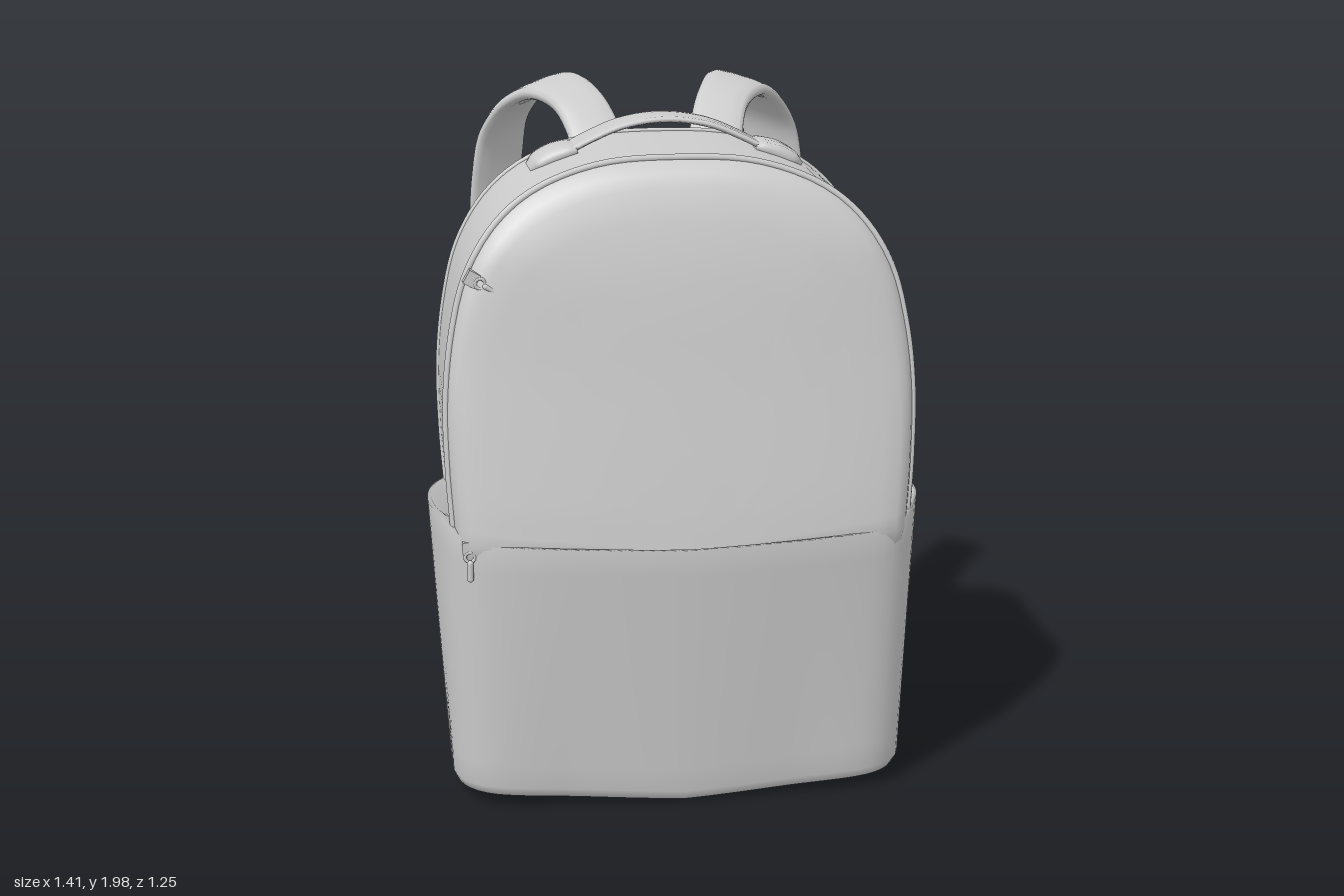
import * as THREE from 'three';

const V = (x, y, z = 0) => new THREE.Vector3(x, y, z);
const mat = new THREE.MeshStandardMaterial({ color: 0xcccccc });
const thinMat = new THREE.MeshStandardMaterial({ color: 0xcccccc, side: THREE.DoubleSide });

// Piecewise linear lookup in [key, value] pairs
function lerpTable(table, k) {
  if (k <= table[0][0]) return table[0][1];
  for (let i = 1; i < table.length; i++) {
    const [a, va] = table[i - 1], [b, vb] = table[i];
    if (k <= b) return va + (vb - va) * (k - a) / (b - a);
  }
  return table[table.length - 1][1];
}

// Skin a list of equally long rings
function loft(rings, closed = true) {
  const n = rings[0].length, pos = [], idx = [];
  rings.forEach(r => r.forEach(p => pos.push(p.x, p.y, p.z)));
  for (let i = 0; i < rings.length - 1; i++) {
    for (let j = 0; j < (closed ? n : n - 1); j++) {
      const a = i * n + j, b = i * n + (j + 1) % n;
      idx.push(a, b, a + n, b, b + n, a + n);
    }
  }
  const g = new THREE.BufferGeometry();
  g.setAttribute('position', new THREE.Float32BufferAttribute(pos, 3));
  g.setIndex(idx);
  g.computeVertexNormals();
  return g;
}

const smooth = (pts, n, closed) => {
  const out = new THREE.CatmullRomCurve3(pts, closed).getSpacedPoints(n);
  if (closed) out.pop();
  return out;
};

// Flat band along a path; each stop is [x, y, z, width, thickness, angle of width direction about y]
function ribbon(stops, steps = 40, sides = 16) {
  const path = new THREE.CatmullRomCurve3(stops.map(s => V(s[0], s[1], s[2])));
  const size = new THREE.CatmullRomCurve3(stops.map(s => V(s[3], s[4], s[5])), false, 'catmullrom', 0.3);
  const rings = [];
  const ring = (t, k) => {
    const c = path.getPoint(t), T = path.getTangent(t), d = size.getPoint(t);
    const W = V(Math.cos(d.z), -0.35 * Math.sin(2 * d.z), Math.sin(d.z)); // banks outward where it turns
    W.addScaledVector(T, -W.dot(T)).normalize();
    const N = T.clone().cross(W);
    rings.push(Array.from({ length: sides }, (_, j) => {
      const a = j / sides * Math.PI * 2, u = Math.cos(a), v = Math.sin(a);
      const f = k / Math.pow(u ** 4 + v ** 4, 0.25);
      return c.clone().addScaledVector(W, u * f * d.x / 2).addScaledVector(N, v * f * d.y / 2);
    }));
  };
  ring(0, 0); ring(0, 0.92);
  for (let i = 0; i <= steps; i++) ring(i / steps, 1);
  ring(1, 0.92); ring(1, 0);
  return loft(rings);
}

// Back wall depth, front rim depth and front fullness by height
const backZ = y => lerpTable([[0, -0.05], [0.83, 0], [0.95, -0.025], [1.85, -0.07]], y);
const rimZ = y => lerpTable([[0, 0.37], [0.6, 0.4], [0.78, 0.485], [0.9, 0.48], [1.3, 0.45], [1.6, 0.42], [1.85, 0.36]], y);
const fullness = y => lerpTable([[0.6, 1], [0.78, 2], [1.3, 1.25], [1.7, 1.15]], y);

export function createModel() {
  const root = new THREE.Group();
  root.name = 'backpack';
  const add = (name, geo, parent = root, m = mat) => {
    const mesh = new THREE.Mesh(geo, m);
    mesh.name = name;
    parent.add(mesh);
    return mesh;
  };

  // Main body: arched outline carried from back wall to domed front
  const half = [[0.3, 0.03], [0.57, 0.045], [0.625, 0.1], [0.632, 0.4], [0.638, 0.8], [0.65, 1.0], [0.652, 1.2],
    [0.632, 1.38], [0.59, 1.54], [0.51, 1.67], [0.4, 1.76], [0.22, 1.825]].map(p => V(...p));
  const mirrored = half.map(p => V(-p.x, p.y)).reverse();
  const outline = smooth([V(0, 0.025), ...half, V(0, 1.84), ...mirrored], 120, true);
  const MID = 0.78;
  const bodyRing = (s, zf) => outline.map(p => {
    const x = p.x * s, y = MID + (p.y - MID) * s;
    return V(x, y, zf(x, y));
  });
  const lift = (ring, k) => ring.forEach(p => { if (p.y > 1.2) p.y += 0.018 * k * (p.y - 1.2) / 0.64; });
  const rings = [[0, 0], [0.25, 0], [0.5, 0], [0.75, 0], [0.9, 0], [0.955, 0], [0.985, 0.008]]
    .map(([s, d]) => bodyRing(s, (x, y) => backZ(y) + d));
  lift(rings[6], 1);
  for (let i = 0; i <= 8; i++) {
    const r = bodyRing(1, (x, y) => THREE.MathUtils.lerp(backZ(y) + 0.03, rimZ(y), i / 8));
    lift(r, 1 - i / 8);
    rings.push(r);
  }
  const backRim = rings[7], frontRim = rings[15];
  [[0.985, 0.02], [0.965, 0.034], [0.93, 0.044], [0.85, 0.05], [0.7, 0.053], [0.55, 0.054], [0.4, 0.055], [0.25, 0.055],
    [0.12, 0.055], [0, 0.055]].forEach(([s, d]) =>
    rings.push(bodyRing(s, (x, y) => rimZ(y) + d * (fullness(y) - 0.4 * (x / 0.65) ** 2))));
  add('body', loft(rings));

  // Piping around the arched front and back edges
  const piping = (name, ring, r) => {
    const pts = ring.filter(p => p.y > 0.8).sort((a, b) => Math.atan2(a.y - 0.8, a.x) - Math.atan2(b.y - 0.8, b.x));
    add(name, new THREE.TubeGeometry(new THREE.CatmullRomCurve3(pts), 90, r, 8));
  };
  piping('frontPiping', frontRim, 0.01);
  piping('backPiping', backRim, 0.008);

  // Lower pocket wrapping bottom, sides and front, flaring to a mouth with a sloped lining
  const wrap = pts => smooth([...pts.map(p => V(-p[0], 0, p[1])), ...pts.slice(0, -1).reverse().map(p => V(p[0], 0, p[1]))], 80, false);
  const low = wrap([[0.64, -0.05], [0.65, 0.1], [0.652, 0.28], [0.64, 0.43], [0.57, 0.5], [0.3, 0.527], [0, 0.545]]);
  const top = wrap([[0.645, 0], [0.685, 0.1], [0.703, 0.28], [0.672, 0.45], [0.61, 0.538], [0.48, 0.583], [0, 0.622]]);
  const pocketRing = (s, t, y0) => low.map((p, j) => {
    const q = p.clone().lerp(top[j], t);
    const rise = THREE.MathUtils.smoothstep(-q.z, -0.58, -0.43);
    const side = Math.abs(q.x) / 0.65;
    q.x *= s;
    q.z = -0.05 + 0.05 * t + (q.z + 0.05 - 0.05 * t) * s;
    q.y = y0 + 0.035 * Math.abs(q.x) / 0.65 * (1 - t) + t * t * ((0.04 + 0.04 * q.z) * rise + 0.02 * side);
    return q;
  });
  const pocket = [[0, 0, 0.008], [0.5, 0, 0.008], [0.93, 0, 0.01], [0.98, 0, 0.018], [1, 0, 0.045]].map(a => pocketRing(...a));
  for (let i = 1; i <= 10; i++) pocket.push(pocketRing(1, i / 10, 0.045 + 0.745 * i / 10));
  pocket.push(pocketRing(0.985, 1, 0.793), pocketRing(0.9, 1, 0.74));
  add('lowerPocket', loft(pocket, false), root, thinMat);

  // Padded cushions on the back wall
  const pad = (name, pts, depth) => {
    const loop = smooth(pts.map(p => V(...p)), 64, true);
    const c = loop.reduce((a, p) => a.add(p), V(0, 0)).divideScalar(loop.length);
    add(name, loft([[0, 1], [0.5, 1], [0.82, 0.97], [0.91, 0.85], [0.96, 0.6], [0.99, 0.25], [1, -0.3]].map(([s, h]) =>
      loop.map(p => {
        const q = c.clone().lerp(p, s);
        q.z = backZ(q.y) - depth * h;
        return q;
      }))));
  };
  const upper = [[0.035, 0.89], [0.3, 0.875], [0.53, 0.875], [0.585, 0.93], [0.595, 1.2], [0.565, 1.44], [0.47, 1.64],
    [0.29, 1.77], [0.08, 1.815], [0.02, 1.76], [0.012, 1.4], [0.014, 0.95]];
  pad('leftBackPad', upper, 0.053);
  pad('rightBackPad', upper.map(([x, y]) => [-x, y]).reverse(), 0.053);
  pad('lumbarPad', [[-0.45, 0.095], [0, 0.085], [0.45, 0.095], [0.56, 0.18], [0.585, 0.4], [0.56, 0.62], [0.45, 0.755],
    [0, 0.775], [-0.45, 0.755], [-0.56, 0.62], [-0.585, 0.4], [-0.56, 0.18]], 0.065);

  // Top grab handle with domed end patches
  const Q = Math.PI / 2;
  add('grabHandle', ribbon([[-0.32, 1.805], [-0.22, 1.858], [-0.12, 1.898], [0, 1.914], [0.12, 1.898], [0.22, 1.858], [0.32, 1.805]]
    .map(([x, y]) => [x, y, 0.08, 0.148, 0.02, Q])));
  for (const s of [1, -1]) {
    add('handlePatch', ribbon([[0.255, 1.832, 0.155, 0.03], [0.28, 1.826, 0.165, 0.045], [0.32, 1.812, 0.165, 0.055],
      [0.36, 1.792, 0.155, 0.05], [0.385, 1.773, 0.12, 0.03]]
      .map(([x, y, w, h]) => [s * x, y, 0.08, w, h, Q]), 16));
  }

  // Shoulder straps, mirrored
  for (const s of [1, -1]) {
    const g = new THREE.Group();
    g.name = s > 0 ? 'leftStrap' : 'rightStrap';
    root.add(g);
    const band = (name, stops, steps) => add(name, ribbon(stops.map(([x, y, z, w, h, a]) => [s * x, y, z, w, h, s * a]), steps), g);
    band('shoulderPad', [[0.17, 1.79, -0.05, 0.16, 0.04, 0], [0.185, 1.86, -0.13, 0.155, 0.045, 0.1], [0.22, 1.925, -0.23, 0.155, 0.045, 0.25],
      [0.283, 1.952, -0.365, 0.18, 0.045, 0.4], [0.355, 1.91, -0.48, 0.19, 0.042, 0.55], [0.41, 1.82, -0.545, 0.19, 0.04, 0.62],
      [0.437, 1.67, -0.565, 0.19, 0.035, 0.62], [0.455, 1.35, -0.555, 0.165, 0.032, 0.5], [0.465, 1.0, -0.52, 0.145, 0.03, 0.3],
      [0.47, 0.75, -0.487, 0.13, 0.028, 0.15], [0.47, 0.5, -0.458, 0.12, 0.026, 0]], 70);
    band('strapSleeve', [[0.47, 0.8, -0.492, 0.137, 0.034, 0.15], [0.47, 0.65, -0.475, 0.13, 0.034, 0.1], [0.47, 0.52, -0.46, 0.125, 0.034, 0]], 10);
    band('lowerWebbing', [[0.47, 0.43, -0.455, 0.09, 0.012, 0], [0.485, 0.32, -0.38, 0.09, 0.012, 0.1], [0.51, 0.2, -0.28, 0.09, 0.012, 0.15],
      [0.54, 0.11, -0.17, 0.1, 0.012, 0.2], [0.56, 0.075, -0.1, 0.11, 0.014, 0.2], [0.57, 0.07, -0.03, 0.11, 0.016, 0.2]], 30);
    band('looseTail', [[0.47, 0.44, -0.46, 0.085, 0.011, 0], [0.47, 0.34, -0.43, 0.085, 0.011, 0], [0.47, 0.23, -0.422, 0.085, 0.011, 0],
      [0.47, 0.13, -0.44, 0.085, 0.011, 0], [0.47, 0.075, -0.47, 0.085, 0.011, 0]], 20);
    // Ladder-lock buckle: two side rails and three crossbars
    const buckle = new THREE.Group();
    buckle.name = 'buckle';
    buckle.position.set(s * 0.47, 0.43, -0.462);
    g.add(buckle);
    for (const x of [-0.06, 0.06]) add('buckleRail', new THREE.BoxGeometry(0.018, 0.13, 0.026), buckle).position.x = x;
    for (const y of [-0.045, 0.005, 0.055]) add('buckleBar', new THREE.BoxGeometry(0.13, 0.02, 0.032), buckle).position.y = y;
  }

  // Zip pulls on the front rim and at the pocket mouth
  for (const [x, y, z, tilt] of [[-0.575, 1.535, 0.45, 1.05], [-0.6, 0.8, 0.535, 0]]) {
    const pull = new THREE.Group();
    pull.name = 'zipPull';
    pull.position.set(x, y, z);
    pull.rotation.z = tilt;
    root.add(pull);
    add('zipSlider', new THREE.BoxGeometry(0.04, 0.035, 0.03), pull);
    add('zipRing', new THREE.TorusGeometry(0.014, 0.005, 6, 14), pull).position.set(0, -0.025, 0.012);
    add('zipTag', new THREE.CapsuleGeometry(0.009, 0.045, 4, 8), pull).position.set(0, -0.065, 0.015);
  }
  return root;
}
